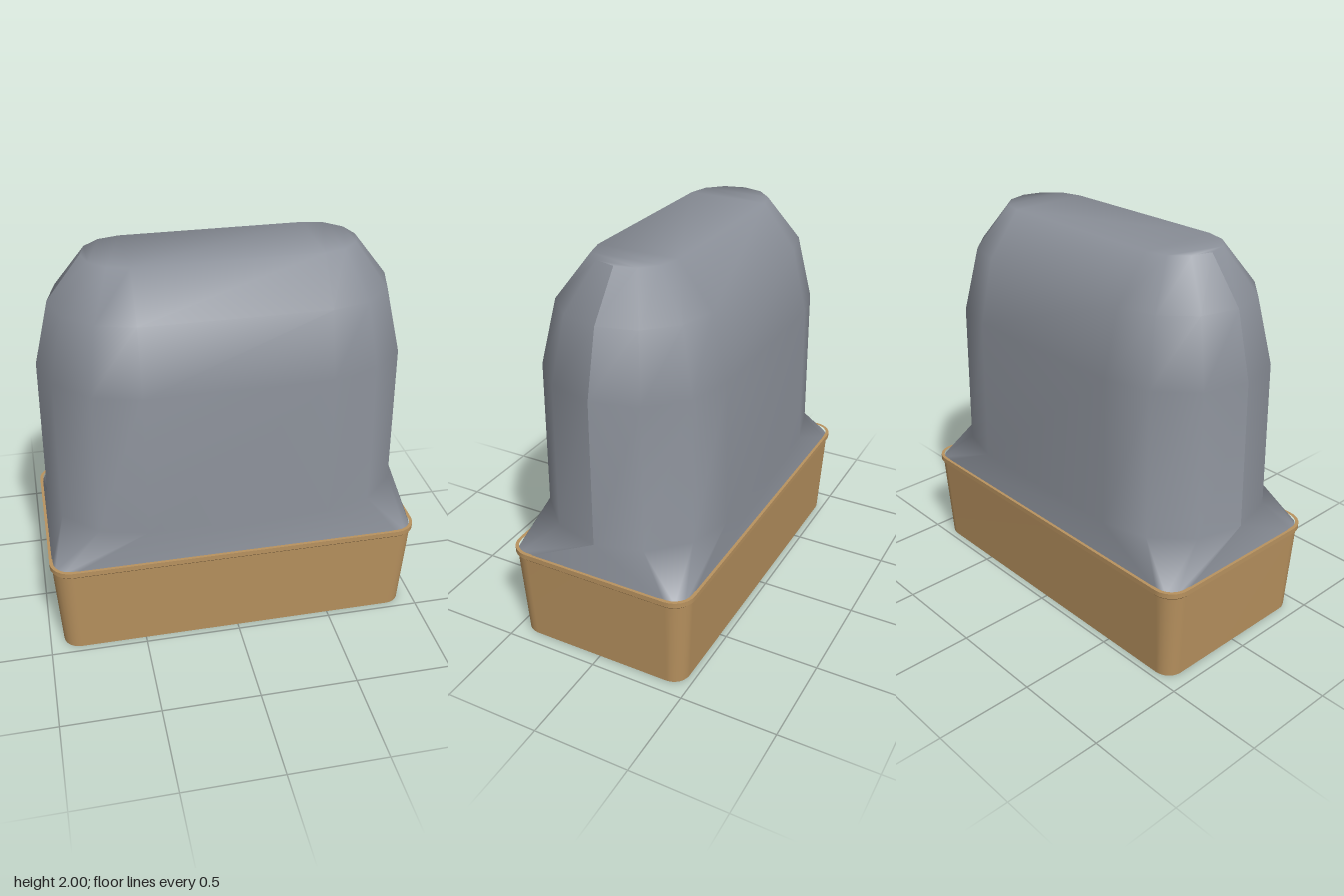
import * as THREE from 'three';

const tan = new THREE.MeshStandardMaterial({ color: 0xb8925f });
tan.name = 'tan';
const grey = new THREE.MeshStandardMaterial({ color: 0x8b9099 });
grey.name = 'slate grey';

// Rounded rectangle ring at height y; half sizes w and d, corner radius r
function ring(y, w, d, r, seg) {
  const centres = [[1, 1], [-1, 1], [-1, -1], [1, -1]];
  return centres.flatMap(([sx, sz], q) => Array.from({ length: seg + 1 }, (_, i) => {
    const a = (q + i / seg) * Math.PI / 2;
    return [sx * (w - r) + r * Math.cos(a), y, sz * (d - r) + r * Math.sin(a)];
  }));
}

// Skin between successive rings, optionally closing the last one
function loft(rings, cap) {
  const n = rings[0].length;
  const index = [];
  for (let k = 0; k < rings.length - 1; k++) {
    for (let i = 0; i < n; i++) {
      const a = k * n + i, b = k * n + (i + 1) % n;
      index.push(a, a + n, b, b, a + n, b + n);
    }
  }
  if (cap) {
    const s = (rings.length - 1) * n;
    for (let i = 0, j = n - 1; i + 1 < j; i++, j--) {
      index.push(s + i, s + j, s + i + 1);
      if (i + 1 < j - 1) index.push(s + i + 1, s + j, s + j - 1);
    }
  }
  const g = new THREE.BufferGeometry();
  g.setAttribute('position', new THREE.Float32BufferAttribute(rings.flat(2), 3));
  g.setIndex(index);
  g.computeVertexNormals();
  return g;
}

function add(group, name, geometry, material) {
  const mesh = new THREE.Mesh(geometry, material);
  mesh.name = name;
  group.add(mesh);
}

export function createModel() {
  const model = new THREE.Group();
  model.name = 'coveredTub';

  // Tapered tub wall, thin foot edge and shallow recess under the floor
  const tub = new THREE.Group();
  tub.name = 'tub';
  model.add(tub);
  const foot = ring(0, 0.928, 0.465, 0.085, 6);
  const footInner = ring(0, 0.918, 0.455, 0.075, 6);
  const floorEdge = ring(0.035, 0.918, 0.455, 0.075, 6);
  const underRim = ring(0.478, 0.955, 0.49, 0.1, 6);
  add(tub, 'tubWall', loft([foot, underRim]), tan);
  add(tub, 'footEdge', loft([footInner, foot]), tan);
  add(tub, 'footRecess', loft([floorEdge, footInner]), tan);
  add(tub, 'floor', loft([floorEdge.slice().reverse()], true), tan);

  // Lip around the top of the tub
  const lipLow = ring(0.49, 0.966, 0.502, 0.11, 6);
  const lipHigh = ring(0.516, 0.966, 0.502, 0.11, 6);
  add(tub, 'lipUnderside', loft([underRim, lipLow]), tan);
  add(tub, 'lipSide', loft([lipLow, lipHigh]), tan);
  add(tub, 'lipTop', loft([lipHigh, ring(0.516, 0.948, 0.484, 0.09, 6)]), tan);

  // Soft hood: rounded rectangle at the tub, round-ended above
  const stadium = (y, r) => ring(y, 0.465 + r, r, r, 3);
  add(model, 'hood', loft([
    ring(0.5, 0.953, 0.488, 0.1, 3),
    stadium(0.69, 0.472),
    stadium(1.45, 0.462),
    stadium(1.78, 0.382),
    stadium(2, 0.21),
  ], true), grey);

  return model;
}
